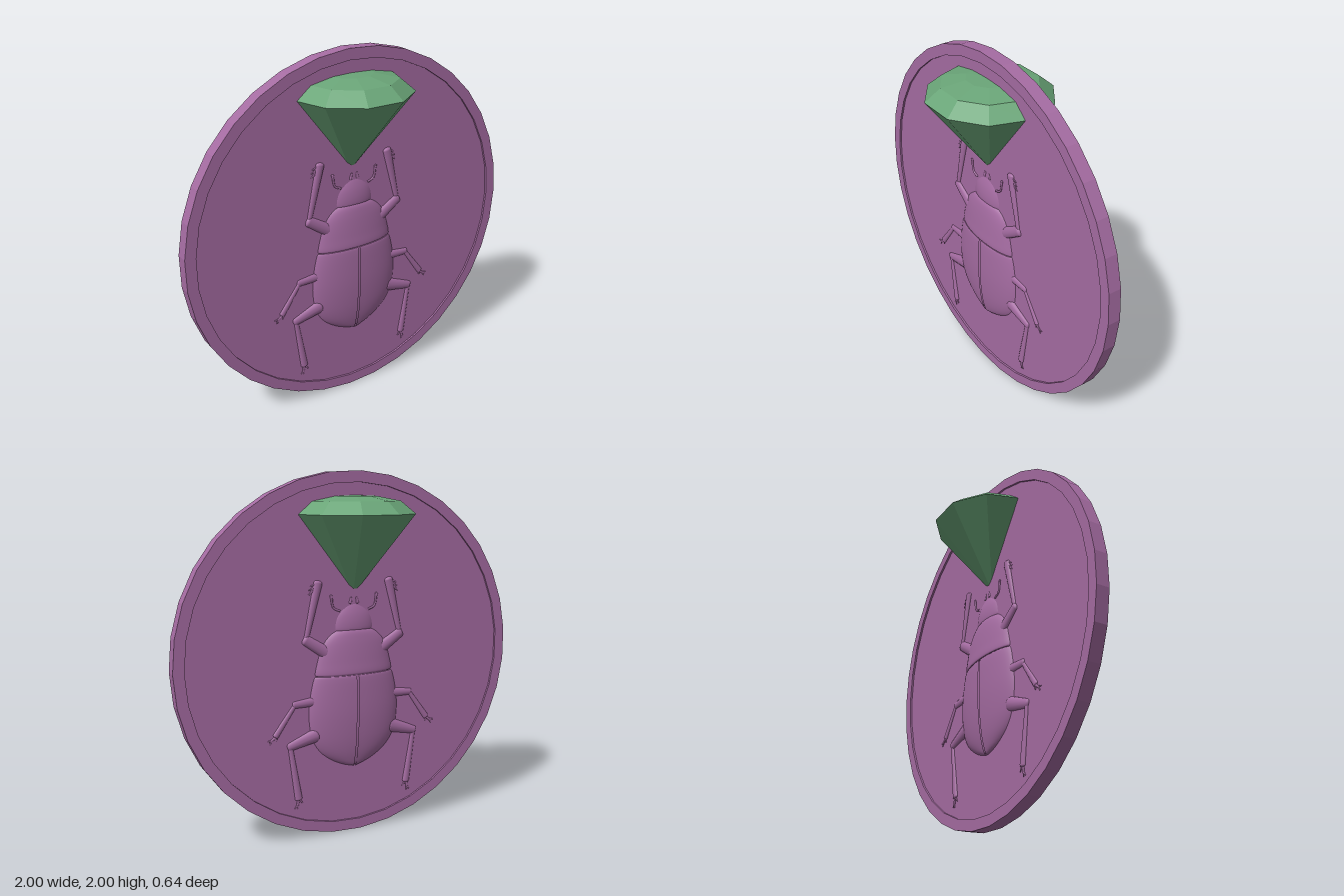
import * as THREE from 'three';

const purple = new THREE.MeshStandardMaterial({ color: 0xa56ca2 });
const purpleFlat = new THREE.MeshStandardMaterial({ color: 0xa56ca2, flatShading: true });
const purpleShell = new THREE.MeshStandardMaterial({ color: 0xa56ca2, side: THREE.DoubleSide });
const green = new THREE.MeshStandardMaterial({ color: 0x6aa578, flatShading: true });

function add(parent, name, geometry, material) {
  const mesh = new THREE.Mesh(geometry, material);
  mesh.name = name;
  parent.add(mesh);
  return mesh;
}

// Elliptical loft through rows of [y, half width, half depth], listed top to bottom
function loft(rows, from = 0, to = Math.PI * 2, segments = 40) {
  const curve = new THREE.CatmullRomCurve3(rows.map(([y, w, d]) => new THREE.Vector3(w, y, d)));
  const line = curve.getPoints(28);
  const first = line[0], last = line[line.length - 1];
  const rings = [new THREE.Vector3(0, first.y, 0), first, ...line, last, new THREE.Vector3(0, last.y, 0)];
  const closed = to - from > 6.28;
  const n = closed ? segments : segments + 1;
  const position = [], index = [];
  for (const p of rings) {
    for (let j = 0; j < n; j++) {
      const t = from + (to - from) * j / segments;
      position.push(p.x * Math.cos(t), p.y, p.z * Math.sin(t));
    }
  }
  for (let i = 0; i < rings.length - 1; i++) {
    for (let j = 0; j < segments; j++) {
      const k = (j + 1) % n;
      const a = i * n + j, b = i * n + k, c = a + n, d = b + n;
      index.push(a, b, c, b, d, c);
    }
  }
  const g = new THREE.BufferGeometry();
  g.setAttribute('position', new THREE.Float32BufferAttribute(position, 3));
  g.setIndex(index);
  g.computeVertexNormals();
  return g;
}

// Tapered limb between two points in the plane of the disc, with rounded ends
function limb(parent, name, [x0, y0], [x1, y1], r0, r1, side, z) {
  const length = Math.hypot(x1 - x0, y1 - y0);
  const profile = [];
  for (let i = 0; i <= 4; i++) {
    const t = -Math.PI / 2 + i * Math.PI / 8;
    profile.push(new THREE.Vector2(r0 * Math.cos(t), r0 * 0.6 * (Math.sin(t))));
  }
  for (let i = 0; i <= 4; i++) {
    const t = i * Math.PI / 8;
    profile.push(new THREE.Vector2(r1 * Math.cos(t), length + r1 * 0.6 * Math.sin(t)));
  }
  const g = new THREE.LatheGeometry(profile, 12);
  g.scale(1, 1, 0.65);
  const mesh = add(parent, name, g, purple);
  mesh.position.set(side * x0, y0, z);
  mesh.rotation.z = Math.atan2(-side * (x1 - x0), y1 - y0);
}

function buildDisc(root) {
  const profile = [[0, -0.026], [0.94, -0.026], [0.94, -0.037], [1, -0.037],
    [1, 0.037], [0.94, 0.037], [0.94, 0.026], [0, 0.026]];
  const g = new THREE.LatheGeometry(profile.map(p => new THREE.Vector2(...p)), 35, Math.PI / 2);
  g.rotateX(Math.PI / 2);
  add(root, 'disc', g, purpleFlat).position.y = 1;
}

function buildGem(root) {
  const profile = [[0, 1.34], [0.336, 1.775], [0.255, 1.842], [0.125, 1.867], [0, 1.872]];
  const g = new THREE.LatheGeometry(profile.map(p => new THREE.Vector2(...p)), 10, Math.PI / 2);
  add(root, 'gem', g, green).position.x = -0.015;
}

function buildBody(beetle) {
  add(beetle, 'head', loft([[1.312, 0.012, 0.012], [1.3, 0.05, 0.022], [1.275, 0.087, 0.032],
    [1.235, 0.118, 0.042], [1.19, 0.131, 0.047], [1.155, 0.132, 0.046], [1.148, 0.124, 0.042]]), purple);
  add(beetle, 'thorax', loft([[1.16, 0.108, 0.042], [1.14, 0.148, 0.053], [1.1, 0.19, 0.061],
    [1.05, 0.217, 0.067], [0.98, 0.237, 0.073], [0.92, 0.247, 0.077], [0.912, 0.243, 0.074]]), purple);

  // Two wing cases with a narrow groove between them, over a slightly smaller core
  const rows = [[0.908, 0.242, 0.074], [0.9, 0.248, 0.077], [0.8, 0.272, 0.081], [0.68, 0.281, 0.081],
    [0.56, 0.263, 0.074], [0.48, 0.215, 0.064], [0.42, 0.135, 0.051], [0.39, 0.06, 0.041], [0.379, 0.005, 0.033]];
  add(beetle, 'abdomenCore', loft([[0.95, 0.22, 0.066],
    ...rows.slice(1).map(([y, w, d]) => [y + 0.006, w * 0.95, d * 0.88])]), purple);
  for (const side of [1, -1]) {
    const start = side > 0 ? -Math.PI / 2 : Math.PI / 2;
    const shell = add(beetle, side > 0 ? 'leftWingCase' : 'rightWingCase',
      loft(rows, start, start + Math.PI, 24), purpleShell);
    shell.position.x = side * 0.005;
  }
}

// Each leg: femur, tibia, tarsus as [from, to, start radius, end radius]
const LEGS = {
  frontLeg: {
    femur: [[0.17, 1.04], [0.285, 1.115], 0.036, 0.03],
    tibia: [[0.28, 1.13], [0.212, 1.415], 0.015, 0.026],
    tarsus: [[0.222, 1.425], [0.256, 1.362], 0.007, 0.005],
    spikes: [[[0.225, 1.415], [0.257, 1.4]], [[0.233, 1.395], [0.264, 1.38]], [[0.24, 1.375], [0.268, 1.355]]],
  },
  middleLeg: {
    femur: [[0.24, 0.775], [0.355, 0.768], 0.028, 0.021],
    tibia: [[0.355, 0.762], [0.464, 0.61], 0.012, 0.018],
    tarsus: [[0.464, 0.605], [0.492, 0.585], 0.008, 0.006],
    spikes: [[[0.488, 0.588], [0.512, 0.585]], [[0.488, 0.588], [0.5, 0.566]], [[0.46, 0.605], [0.462, 0.582]]],
  },
  hindLeg: {
    femur: [[0.23, 0.585], [0.385, 0.537], 0.042, 0.025],
    tibia: [[0.38, 0.525], [0.337, 0.238], 0.014, 0.022],
    tarsus: [[0.34, 0.228], [0.345, 0.2], 0.008, 0.007],
    spikes: [[[0.345, 0.2], [0.36, 0.182]], [[0.345, 0.2], [0.342, 0.178]], [[0.33, 0.228], [0.314, 0.208]]],
  },
};

function buildLimbs(beetle) {
  for (const face of [1, -1]) {
    for (const side of [1, -1]) {
      const z = face * 0.025;
      for (const [name, leg] of Object.entries(LEGS)) {
        const group = new THREE.Group();
        group.name = name;
        beetle.add(group);
        limb(group, 'femur', ...leg.femur, side, face * 0.022);
        limb(group, 'tibia', ...leg.tibia, side, z);
        limb(group, 'tarsus', ...leg.tarsus, side, face * 0.028);
        for (const [a, b] of leg.spikes) limb(group, 'claw', a, b, 0.006, 0.003, side, face * 0.028);
      }
      // Bent antenna and small mouthpart
      const path = [[0.085, 1.26], [0.122, 1.278], [0.137, 1.345]]
        .map(([x, y]) => new THREE.Vector3(side * x, y, face * 0.028));
      add(beetle, 'antenna', new THREE.TubeGeometry(new THREE.CatmullRomCurve3(path), 10, 0.006, 6), purple);
      limb(beetle, 'antennaTip', [0.132, 1.32], [0.137, 1.345], 0.006, 0.008, side, face * 0.028);
      limb(beetle, 'mouthpart', [0.022, 1.3], [0.016, 1.328], 0.009, 0.006, side, face * 0.025);
    }
  }
}

export function createModel() {
  const root = new THREE.Group();
  root.name = 'beetleMedallion';
  buildDisc(root);
  buildGem(root);
  const beetle = new THREE.Group();
  beetle.name = 'beetle';
  beetle.position.x = -0.007;
  root.add(beetle);
  buildBody(beetle);
  buildLimbs(beetle);
  return root;
}
